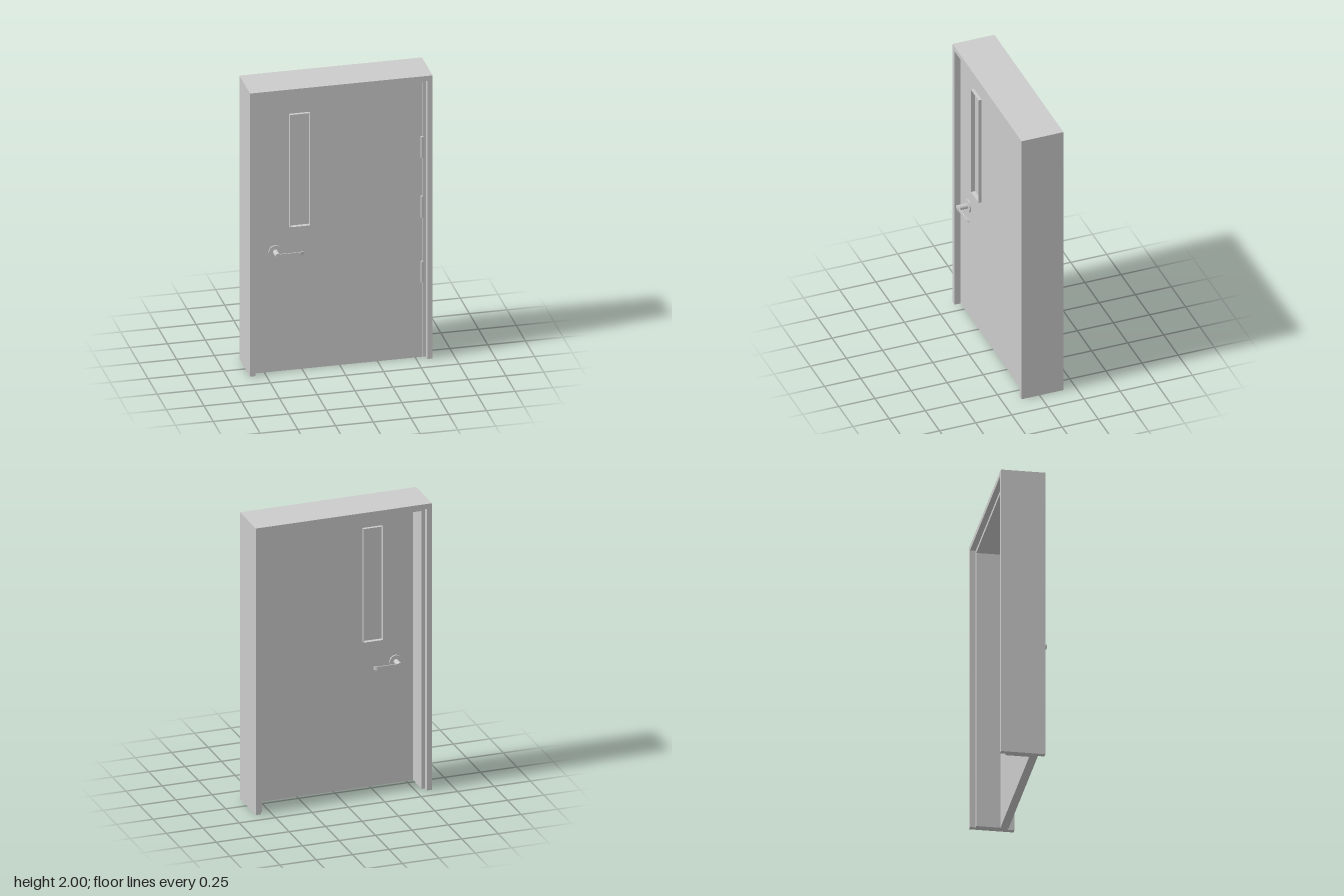
import * as THREE from 'three';

const material = new THREE.MeshStandardMaterial({ color: 0xcccccc });

function add(parent, name, geometry, x = 0, y = 0, z = 0) {
  const mesh = new THREE.Mesh(geometry, material);
  mesh.name = name;
  mesh.position.set(x, y, z);
  parent.add(mesh);
  return mesh;
}

// Three-sided door surround, open at the floor
function surround(outerX, outerY, innerX, innerY, depth) {
  const s = new THREE.Shape();
  s.moveTo(-outerX, 0);
  s.lineTo(-innerX, 0);
  s.lineTo(-innerX, innerY);
  s.lineTo(innerX, innerY);
  s.lineTo(innerX, 0);
  s.lineTo(outerX, 0);
  s.lineTo(outerX, outerY);
  s.lineTo(-outerX, outerY);
  s.closePath();
  return new THREE.ExtrudeGeometry(s, { depth, bevelEnabled: false });
}

function rectangle(PathType, x0, x1, y0, y1) {
  const p = new PathType();
  p.moveTo(x0, y0);
  p.lineTo(x1, y0);
  p.lineTo(x1, y1);
  p.lineTo(x0, y1);
  p.closePath();
  return p;
}

// Flat panel with a rectangular hole
function panelWithHole(outer, hole, depth) {
  const shape = rectangle(THREE.Shape, ...outer);
  shape.holes.push(rectangle(THREE.Path, ...hole));
  return new THREE.ExtrudeGeometry(shape, { depth, bevelEnabled: false });
}

// Handle built facing +z, with its origin on the door surface
function createHandle(name) {
  const handle = new THREE.Group();
  handle.name = name;
  const rose = add(handle, 'rose', new THREE.CylinderGeometry(0.045, 0.045, 0.01, 12), 0, 0, 0.005);
  rose.rotation.x = Math.PI / 2;
  const spindle = add(handle, 'spindle', new THREE.CylinderGeometry(0.018, 0.018, 0.08, 12), 0, 0, 0.04);
  spindle.rotation.x = Math.PI / 2;

  // Thin flat lever whose tip curls back towards the door
  const s = new THREE.Shape();
  s.moveTo(0, 0.073);
  s.lineTo(0.148, 0.073);
  s.quadraticCurveTo(0.16, 0.072, 0.17, 0.06);
  s.lineTo(0.175, 0.063);
  s.quadraticCurveTo(0.164, 0.079, 0.15, 0.079);
  s.lineTo(0, 0.079);
  s.closePath();
  const lever = new THREE.ExtrudeGeometry(s, { depth: 0.024, bevelEnabled: false, curveSegments: 5 });
  lever.rotateX(Math.PI / 2);
  add(handle, 'lever', lever, 0, 0.012, 0);
  return handle;
}

export function createModel() {
  const group = new THREE.Group();
  group.name = 'door';
  const doorBack = 0.03, doorFront = 0.083;
  const middle = (doorBack + doorFront) / 2;

  // Frame with a rebate at both faces and a stop between
  add(group, 'frame', surround(0.605, 2, 0.57, 1.965, 0.29), 0, 0, -0.165);
  add(group, 'frameStop', surround(0.57, 1.965, 0.548, 1.94, doorFront + 0.128), 0, 0, -0.128);

  // Door leaf and its narrow window
  const opening = [-0.335, -0.2, 1.015, 1.81];
  const [x0, x1, y0, y1] = opening;
  const t = 0.002;
  add(group, 'doorLeaf', panelWithHole([-0.548, 0.546, 0, 1.94], opening, doorFront - doorBack), 0, 0, doorBack);
  add(group, 'windowTrim', panelWithHole(opening, [x0 + t, x1 - t, y0 + t, y1 - t], 0.095), 0, 0, middle - 0.0475);
  add(group, 'windowPane', new THREE.BoxGeometry(x1 - x0 - t, y1 - y0 - t, 0.04),
    (x0 + x1) / 2, (y0 + y1) / 2, middle);

  // Lever handles on both sides
  const front = createHandle('frontHandle');
  front.position.set(-0.428, 0.848, doorFront);
  group.add(front);
  const back = createHandle('backHandle');
  back.position.set(-0.428, 0.848, doorBack);
  back.scale.z = -1;
  group.add(back);

  // Hinge barrels
  for (const y of [0.605, 1.065, 1.485]) {
    add(group, 'hinge', new THREE.CylinderGeometry(0.01, 0.01, 0.148, 12), 0.542, y, doorFront + 0.007);
  }
  return group;
}
